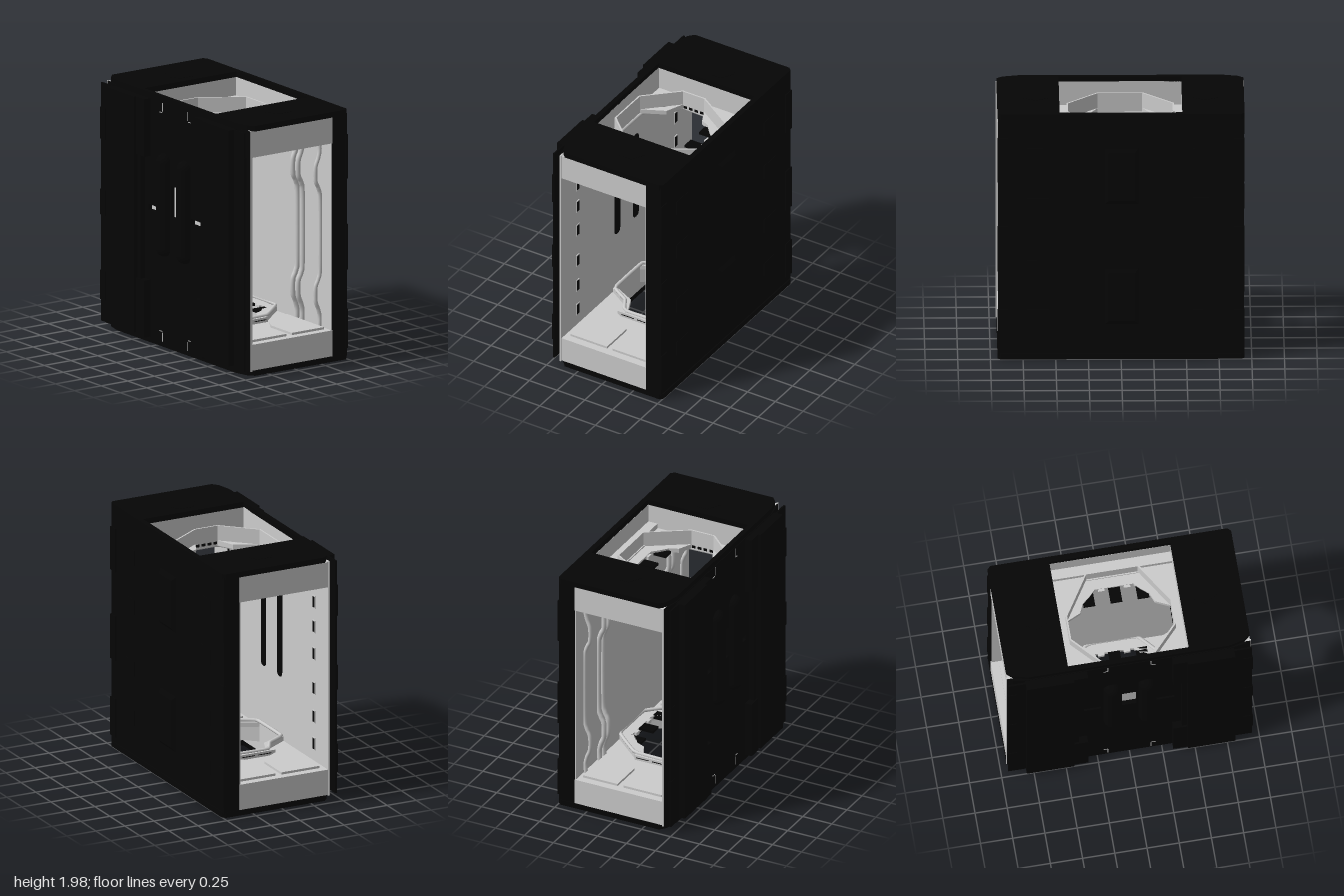
import * as THREE from 'three';

export function createModel() {
  const model = new THREE.Group();
  const black = new THREE.MeshStandardMaterial({ color: 0x050505 });
  black.name = 'black hull';
  const grey = new THREE.MeshStandardMaterial({ color: 0xcccccc });
  grey.name = 'light grey lining';

  const add = (name, geo, mat, x = 0, y = 0, z = 0) => {
    const m = new THREE.Mesh(geo, mat);
    m.name = name;
    m.position.set(x, y, z);
    model.add(m);
    return m;
  };
  // Box given by its limits on each axis
  const box = (name, mat, x0, x1, y0, y1, z0, z1) =>
    add(name, new THREE.BoxGeometry(x1 - x0, y1 - y0, z1 - z0), mat,
      (x0 + x1) / 2, (y0 + y1) / 2, (z0 + z1) / 2);
  // The same box on both sides
  const pair = (name, mat, x0, x1, ...r) => {
    box(name, mat, x0, x1, ...r);
    box(name, mat, -x1, -x0, ...r);
  };
  // Outlines run counter-clockwise and holes clockwise, so all walls face outward
  const wind = (pts, clockwise) => {
    const v = pts.map(([a, b]) => new THREE.Vector2(a, b));
    return THREE.ShapeUtils.isClockWise(v) === clockwise ? v : v.reverse();
  };
  const rect = (x0, x1, y0, y1) => [[x0, y0], [x1, y0], [x1, y1], [x0, y1]];
  // Right half outline completed by mirroring
  const mirror = (half) => [...half, ...half.map(([x, z]) => [-x, z]).reverse()];
  const extrude = (outline, holes, depth) => {
    const s = new THREE.Shape(wind(outline, false));
    holes.forEach((h) => s.holes.push(new THREE.Path(wind(h, true))));
    return new THREE.ExtrudeGeometry(s, { depth, bevelEnabled: false });
  };
  // Horizontal plate drawn in x, z
  const plate = (name, mat, outline, holes, y0, y1) => {
    const flip = (p) => p.map(([x, z]) => [x, -z]);
    const g = extrude(flip(outline), holes.map(flip), y1 - y0).rotateX(-Math.PI / 2);
    return add(name, g, mat, 0, y0, 0);
  };
  const tube = (name, mat, pts, r, closed = false, tension = 0.5) => {
    const c = new THREE.CatmullRomCurve3(pts.map((p) => new THREE.Vector3(...p)), closed, 'catmullrom', tension);
    return add(name, new THREE.TubeGeometry(c, 64, r, 8, closed), mat);
  };

  // Plan outlines shared by ceiling and floor
  const cap = mirror([[0.92, -0.505], [0.945, -0.48], [0.945, 0.37], [0.9, 0.41], [0.78, 0.44]]);
  const hatch = mirror([[0.2, -0.36], [0.4, -0.05], [0.4, 0.14], [0.17, 0.385]]);
  const collar = mirror([[0.207, -0.372], [0.412, -0.054], [0.412, 0.146], [0.176, 0.397]]);
  const ringHole = mirror([[0.15, -0.27], [0.2, -0.22], [0.26, -0.17], [0.29, -0.1],
    [0.4, -0.05], [0.4, 0.14], [0.26, 0.2], [0.17, 0.385]]);
  const ringEdge = mirror([[0.2, -0.37], [0.42, -0.12], [0.43, 0.16], [0.3, 0.24], [0.2, 0.398]]);
  const deck = mirror([[0.47, -0.46], [0.47, -0.36], [0.94, -0.36], [0.94, 0.4]]);
  const panels = [
    [[0.5, 0.12], [0.6, 0.03], [0.88, 0.03], [0.88, 0.36], [0.4, 0.36], [0.4, 0.28]],
    [[0.5, -0.08], [0.6, -0.02], [0.88, -0.02], [0.88, -0.32], [0.4, -0.32], [0.4, -0.2]],
  ];

  for (const s of [1, -1]) {
    const span = (a, b) => (s > 0 ? [1 + a, 1 + b] : [1 - b, 1 - a]);
    const end = s > 0 ? 'ceiling' : 'floor';
    plate(end + 'Cap', black, cap, [rect(-0.47, 0.47, -0.46, 0.4)], ...span(0.945, 0.988));
    plate(end + 'Deck', grey, deck, [hatch], ...span(0.74, 0.76));
    plate(end + 'Collar', grey, collar, [hatch], ...span(0.76, 0.86));
    plate(end + 'Ring', grey, ringEdge, [ringHole], ...span(0.705, 0.74));
    pair(end + 'Fascia', grey, 0.925, 0.942, ...span(0.74, 0.945), -0.36, 0.405);
    pair(end + 'ShaftWall', grey, 0.472, 0.485, ...span(0.76, 0.945), -0.46, 0.4);
    box(end + 'ShaftBack', grey, -0.48, 0.48, ...span(0.74, 0.945), -0.465, -0.459);
    box(end + 'ShaftLedge', grey, -0.47, 0.47, ...span(0.76, 0.8), -0.46, -0.38);

    // Hatch rim pipe
    tube(end + 'RimPipe', grey, ringEdge.map(([x, z]) => [x * 0.98, 1 + s * 0.695, z * 0.96]), 0.014, true, 0.1);
    // Side housings with thin slots
    pair(end + 'RimHousing', grey, 0.405, 0.45, ...span(0.7, 0.742), -0.1, 0.2);
    for (const z of [-0.03, 0.11])
      pair(end + 'HousingSlot', black, 0.449, 0.453, ...span(0.717, 0.722), z - 0.055, z + 0.055);
    for (const z of [-0.03, 0.02, 0.07, 0.12])
      pair(end + 'RimNotch', black, 0.396, 0.404, ...span(0.712, 0.732), z - 0.015, z + 0.015);
    // Steps and tabs on the back of the rim
    for (const x of [-0.21, 0, 0.21])
      box(end + 'Step', black, x - 0.045, x + 0.045, ...span(0.705, 0.725), -0.27, -0.15);
    for (const x of [-0.1, 0.1])
      box(end + 'RimTab', grey, x - 0.025, x + 0.025, ...span(0.705, 0.735), -0.28, -0.25);

    for (const m of [1, -1]) {
      // Raised deck panels
      for (const p of panels)
        plate(end + 'DeckPanel', grey, p.map(([x, z]) => [x * m, z]), [], ...span(0.722, 0.74));
      // Shallow hexagonal covers on the outer cap
      add(end + 'CapCover', new THREE.CylinderGeometry(0.12, 0.12, 0.004, 6), black, m * 0.65, 1 + s * 0.988, -0.05);
      // Wall pipes bulging near their ends
      for (const [x, r] of [[0.5, 0.02], [0.57, 0.02], [0.8, 0.016]])
        tube('wallPipe', grey, [[0, -0.345], [0.28, -0.342], [0.36, -0.325], [0.42, -0.3], [0.53, -0.3],
          [0.6, -0.325], [0.66, -0.338], [0.74, -0.335]].map(([d, z]) => [m * x, 1 + s * d, z]), r);
    }

    // Back bulge with sloping sides: the outer face is drawn in
    const bulge = new THREE.BoxGeometry(0.28, 0.48, 0.04).toNonIndexed();
    const pos = bulge.attributes.position;
    for (let i = 0; i < pos.count; i++)
      if (pos.getZ(i) < 0) pos.setXY(i, pos.getX(i) * 0.72, pos.getY(i) * 0.8);
    bulge.computeVertexNormals();
    add('backBulge', bulge, black, -0.005, 1 + s * 0.485, -0.5);
  }

  // Back wall: hull, thick end columns and grey lining
  box('backHull', black, -0.94, 0.94, 0.04, 1.96, -0.493, -0.465);
  pair('backColumn', black, 0.49, 0.94, 0.045, 1.955, -0.47, -0.36);
  box('backLining', grey, -0.935, 0.935, 0.25, 1.75, -0.464, -0.35);
  for (const [y0, y1] of [[0.1, 0.41], [0.72, 1.08], [1.44, 1.79]])
    pair('backPad', black, 0.86, 0.945, y0, y1, -0.503, -0.48);
  for (const y of [0.35, 0.75, 1.25, 1.65])
    pair('backRelief', black, 0.55, 0.72, y - 0.06, y + 0.06, -0.499, -0.49);

  // Front wall: grey lining with slots
  box('frontLining', grey, -0.95, 0.95, 0.05, 1.95, 0.4, 0.412);
  for (const y of [0.4, 0.62, 0.85, 1.13, 1.35, 1.55]) {
    pair('slotFrame', grey, 0.688, 0.732, y - 0.052, y + 0.052, 0.395, 0.401);
    pair('slot', black, 0.695, 0.725, y - 0.043, y + 0.043, 0.393, 0.4);
  }

  // Front hull with window openings and tapering ends
  add('frontHull', extrude(rect(-0.78, 0.78, 0.045, 1.95), [
    rect(-0.06, 0.055, 1.06, 1.31),
    rect(-0.355, -0.22, 1.06, 1.105),
    rect(0.21, 0.35, 1.06, 1.105),
  ], 0.035), black, 0, 0, 0.413);
  for (const m of [1, -1])
    plate('frontHullEnd', black,
      [[0.78, 0.405], [0.78, 0.448], [0.9, 0.43], [0.945, 0.413]].map(([x, z]) => [x * m, z]), [], 0.045, 1.95);
  pair('frontPanel', black, 0.44, 0.81, 0.08, 1.945, 0.447, 0.525);
  pair('frontFlange', black, 0.8, 0.945, 0.06, 1.945, 0.46, 0.475);
  for (const [y0, y1] of [[0.06, 0.51], [1.49, 1.945]])
    pair('frontBlock', black, 0.33, 0.44, y0, y1, 0.447, 0.505);
  pair('frontStrip', black, 0.4, 0.44, 0.5, 1.5, 0.447, 0.49);
  for (const [y0, y1] of [[0.23, 0.46], [0.9, 1.1], [1.5, 1.75]])
    pair('flangePad', black, 0.88, 0.952, y0, y1, 0.458, 0.48);

  // Front capsules and seam marks
  for (const m of [1, -1]) {
    add('frontCapsule', new THREE.CapsuleGeometry(0.068, 0.68, 8, 20), black, m * 0.135, 1.145, 0.452);
    for (const s of [1, -1]) {
      add('seamMark', new THREE.BoxGeometry(0.007, 0.07, 0.004), grey, m * 0.166, 1 + s * 0.91, 0.449);
      add('seamMark', new THREE.BoxGeometry(0.034, 0.005, 0.004), grey, m * 0.186, 1 + s * 0.865, 0.449);
    }
  }
  return model;
}
